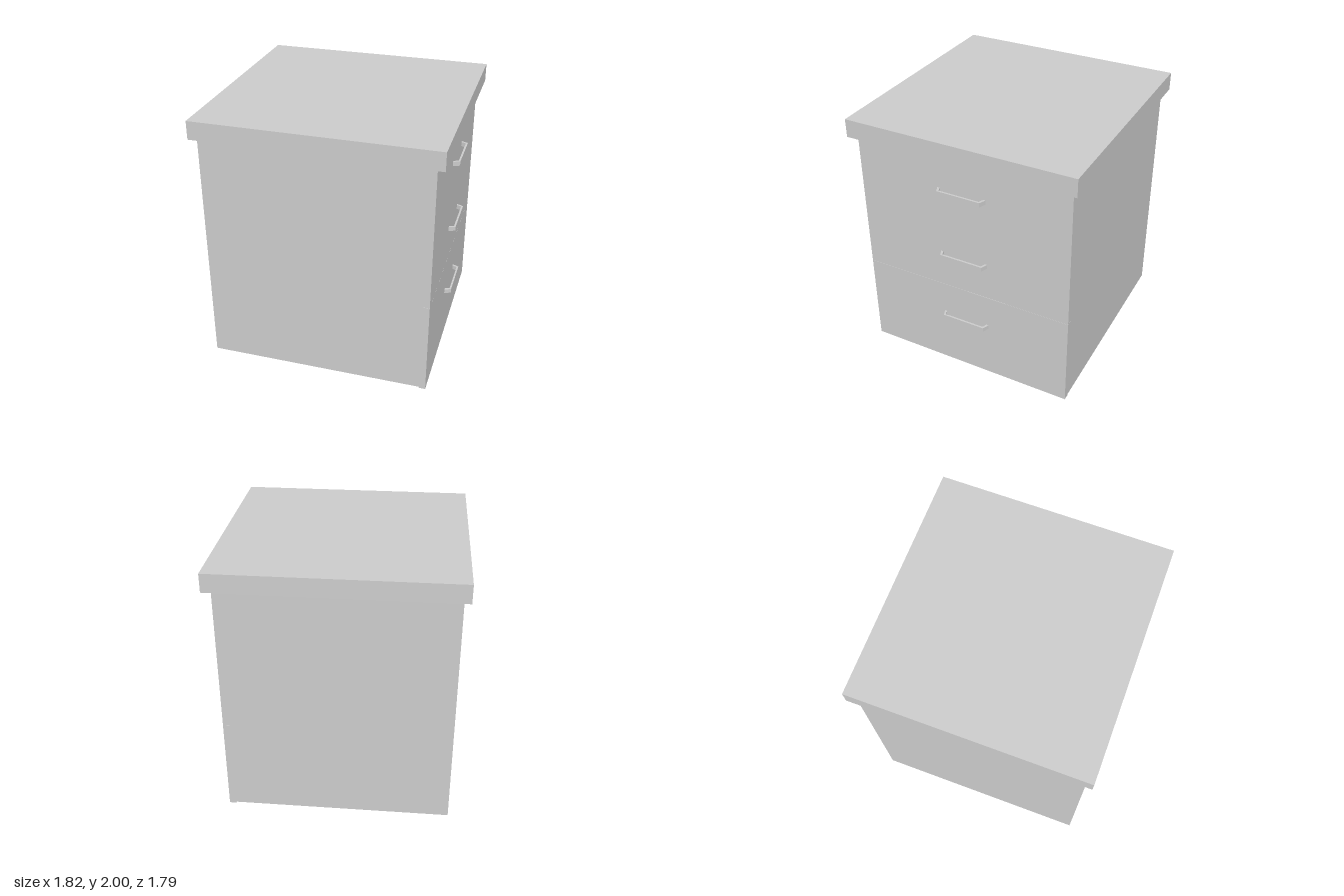
import * as THREE from 'three';

const material = new THREE.MeshStandardMaterial({ color: 0xcccccc, flatShading: true });

function add(group, name, geometry) {
  const mesh = new THREE.Mesh(geometry, material);
  mesh.name = name;
  group.add(mesh);
  return mesh;
}

// Box given by its lower and upper corners
function box(group, name, [x0, y0, z0], [x1, y1, z1]) {
  const mesh = add(group, name, new THREE.BoxGeometry(x1 - x0, y1 - y0, z1 - z0));
  mesh.position.set((x0 + x1) / 2, (y0 + y1) / 2, (z0 + z1) / 2);
}

// Flat bracket with slanted legs, projecting along +x
function handleGeometry(height) {
  const outline = [
    [0, -0.193], [0.05, -0.172], [0.05, 0.172], [0, 0.193],
    [0, 0.175], [0.036, 0.16], [0.036, -0.16], [0, -0.175],
  ];
  const shape = new THREE.Shape(outline.map(([x, y]) => new THREE.Vector2(x, y)));
  return new THREE.ExtrudeGeometry(shape, { depth: height, bevelEnabled: false })
    .translate(0, 0, -height / 2)
    .rotateX(-Math.PI / 2);
}

export function createModel() {
  const model = new THREE.Group();
  model.name = 'drawerCabinet';

  // Carcass and overhanging worktop
  box(model, 'carcass', [-0.862, 0.01, -0.845], [0.8, 1.86, 0.845]);
  box(model, 'worktop', [-0.909, 1.86, -0.894], [0.909, 2, 0.894]);

  // Three drawer fronts on the +x side, each with a handle
  const drawers = [
    { bottom: 0, top: 0.744, handle: 0.463 },
    { bottom: 0.746, top: 1.31, handle: 1.037 },
    { bottom: 1.31, top: 1.86, handle: 1.588 },
  ];
  const handle = handleGeometry(0.034);
  drawers.forEach(({ bottom, top, handle: y }) => {
    const drawer = new THREE.Group();
    drawer.name = 'drawer';
    box(drawer, 'drawerFront', [0.8, bottom, -0.845], [0.849, top, 0.845]);
    add(drawer, 'drawerHandle', handle).position.set(0.849, y, 0);
    model.add(drawer);
  });

  return model;
}
